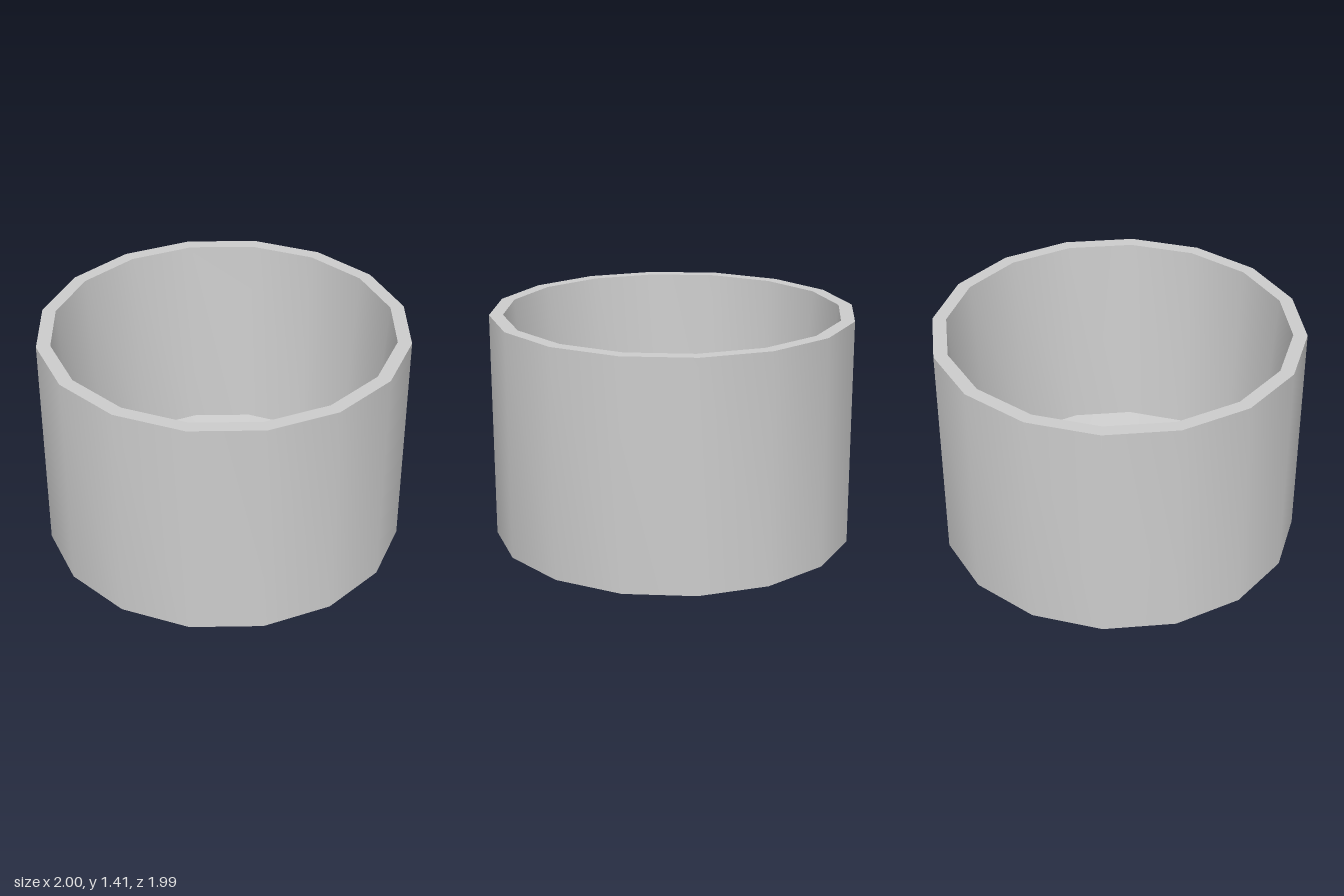
import * as THREE from 'three';
import { toCreasedNormals } from 'three/addons/utils/BufferGeometryUtils.js';

const SIDES = 16;

export function createModel() {
  const group = new THREE.Group();
  const material = new THREE.MeshStandardMaterial({ color: 0xcccccc });

  // Turns a profile of [radius, height] pairs into a 16-sided, very slightly oval part
  const turned = (name, depth, profile) => {
    const points = profile.map(([r, y]) => new THREE.Vector2(r, y));
    const geometry = new THREE.LatheGeometry(points, SIDES).scale(1, 1, depth);
    const mesh = new THREE.Mesh(toCreasedNormals(geometry, 0.5), material);
    mesh.name = name;
    group.add(mesh);
  };

  // Cup: underside, outer wall, flat rim, tapering inner wall, sloping floor ring
  turned('cup', 0.993, [
    [0.59, 0.167], [1, 0.167], [1, 1.415], [0.925, 1.415],
    [0.855, 0.285], [0.505, 0.235],
  ]);

  // Hollow foot: base and outer wall
  turned('foot', 0.98, [[0, 0], [0.6, 0], [0.6, 0.167]]);

  // Recess in the floor, reaching down into the foot
  turned('footRecess', 0.993, [[0.505, 0.235], [0.505, 0.08], [0, 0.08]]);

  return group;
}
